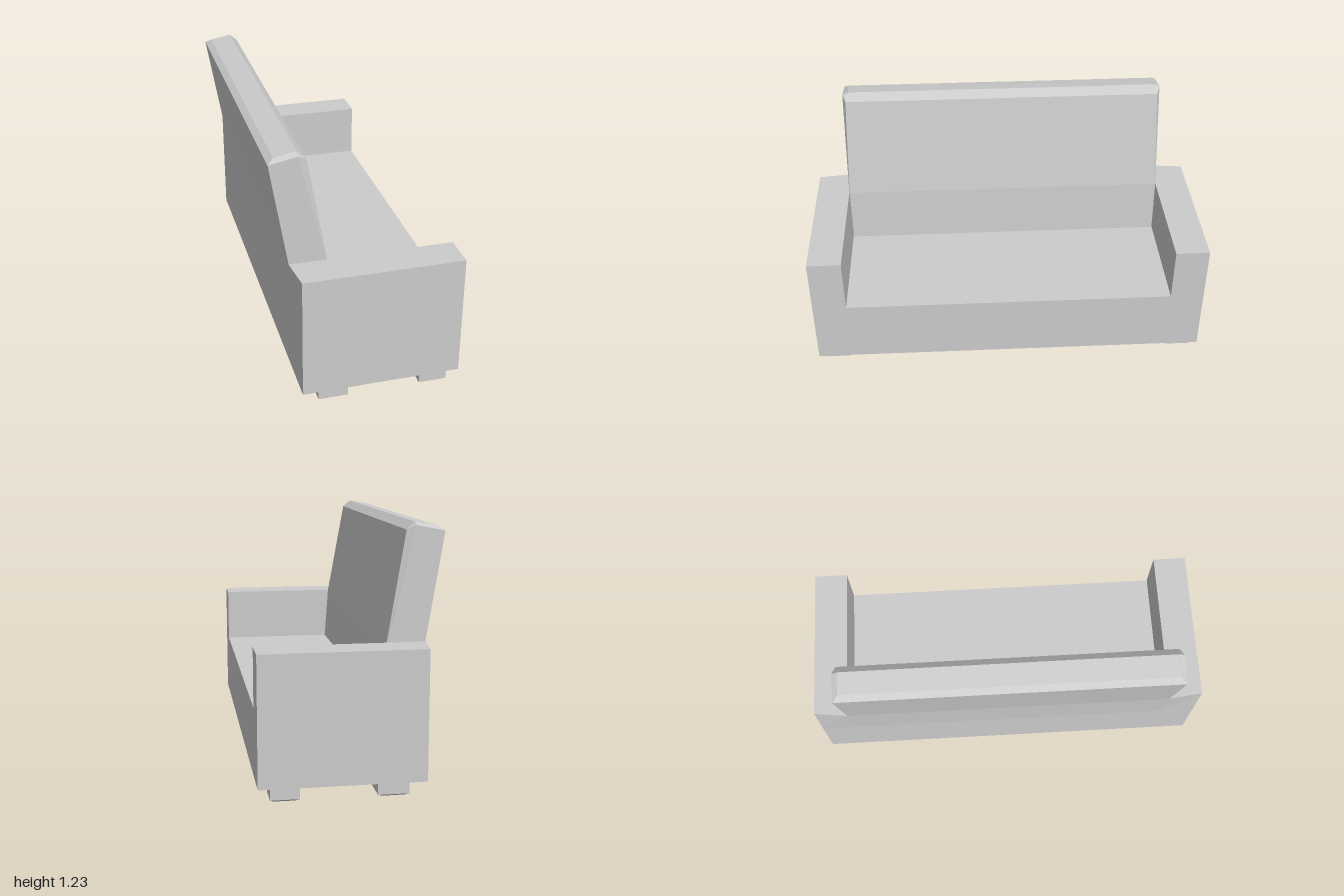
import * as THREE from 'three';

const material = new THREE.MeshStandardMaterial({ color: 0xcccccc, flatShading: true });

// Closed solid through rings of [x, y, z] corners, listed counter-clockwise from above, bottom to top
function loft(name, rings) {
  const n = rings[0].length, pos = [];
  const tri = (a, b, c) => pos.push(...a, ...b, ...c);
  for (let i = 0; i < rings.length - 1; i++) {
    for (let j = 0; j < n; j++) {
      const k = (j + 1) % n, lo = rings[i], hi = rings[i + 1];
      tri(lo[j], lo[k], hi[k]);
      tri(lo[j], hi[k], hi[j]);
    }
  }
  const bottom = rings[0], top = rings[rings.length - 1];
  for (let j = 1; j < n - 1; j++) {
    tri(bottom[0], bottom[j + 1], bottom[j]);
    tri(top[0], top[j], top[j + 1]);
  }
  const geo = new THREE.BufferGeometry();
  geo.setAttribute('position', new THREE.Float32BufferAttribute(pos, 3));
  geo.computeVertexNormals();
  const mesh = new THREE.Mesh(geo, material);
  mesh.name = name;
  return mesh;
}

// Rectangular ring at height y
const rect = (x0, x1, z0, z1, y) => [[x0, y, z1], [x1, y, z1], [x1, y, z0], [x0, y, z0]];

// Ring mirrored across z from its +z half, ordered back to front
const mirrored = (half) => [...half, ...half.map(([x, y, z]) => [x, y, -z]).reverse()];

export function createModel() {
  const sofa = new THREE.Group();
  sofa.name = 'sofa';
  const back = -0.335, front = 0.435, seatY = 0.4, armY = 0.68, inner = 0.83;

  // Base with the flat seat
  sofa.add(loft('seatBase', [rect(back, front, -1, 1, 0.07), rect(back, front, -1, 1, seatY)]));

  // Arms, whose inner rear corner leans back to meet the backrest
  for (const s of [1, -1]) {
    const z0 = s > 0 ? inner : -1, z1 = s > 0 ? 1 : -inner;
    const top = rect(back, front, z0, z1, armY);
    top[s > 0 ? 3 : 0][0] = -0.355;
    sofa.add(loft(s > 0 ? 'armRight' : 'armLeft', [rect(back, front, z0, z1, seatY), top]));
  }

  // Leaning backrest with tapered front bevels and a chamfered top
  sofa.add(loft('backrest', [
    [[back, seatY, inner], [-0.158, seatY, inner], [-0.155, seatY, inner - 0.003]],
    [[-0.355, armY, inner], [-0.178, armY, inner], [-0.175, armY, inner - 0.003]],
    [[-0.44, 1.185, inner - 0.003], [-0.305, 1.212, inner - 0.003], [-0.265, 1.19, 0.81]],
    [[-0.41, 1.206, 0.8], [-0.307, 1.225, 0.8], [-0.304, 1.225, 0.8]],
  ].map(mirrored)));

  // Four block feet with chamfered soles
  for (const [x0, x1, place] of [[-0.255, -0.11, 'back'], [0.245, 0.38, 'front']]) {
    for (const [z0, z1] of [[0.85, 0.98], [-0.98, -0.85]]) {
      sofa.add(loft(place + 'Foot', [
        rect(x0 + 0.02, x1 - 0.02, z0 + 0.02, z1 - 0.02, 0),
        rect(x0, x1, z0, z1, 0.012),
        rect(x0, x1, z0, z1, 0.07),
      ]));
    }
  }
  return sofa;
}
